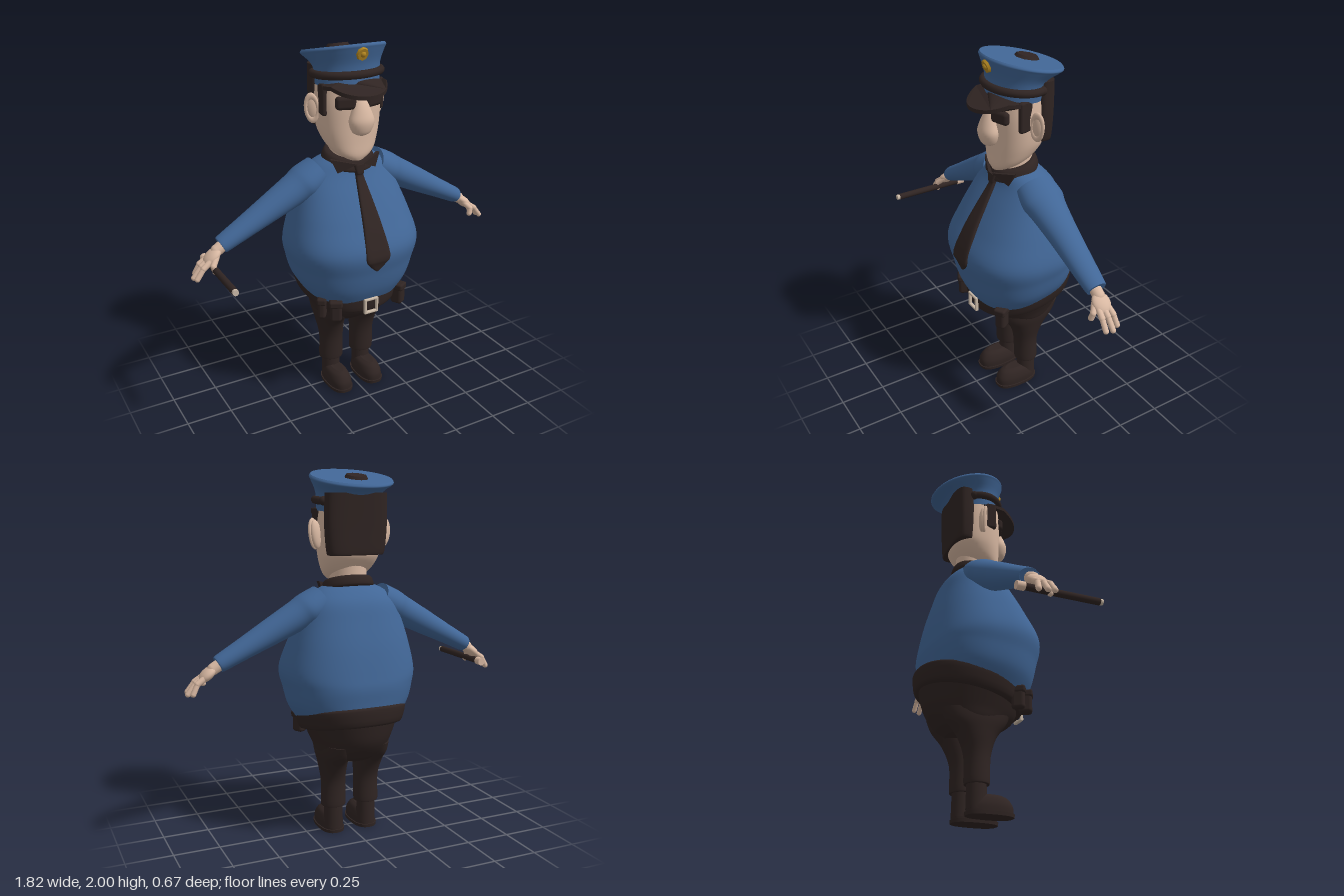
import * as THREE from 'three';
import { RoundedBoxGeometry } from 'three/addons/geometries/RoundedBoxGeometry.js';

const mat = (name, color) => Object.assign(new THREE.MeshStandardMaterial({ color }), { name });

// Closed skin over rings listed bottom to top: [y, cx, cz, rx, rz, slope dy/dz, squareness]
function loft(rings, sub = 5, seg = 40) {
  const full = rings.map(r => [r[0], r[1], r[2], r[3], r[4], r[5] ?? 0, r[6] ?? 2]);
  const at = i => full[Math.max(0, Math.min(full.length - 1, i))];
  const list = [];
  for (let i = 0; i < full.length - 1; i++)
    for (let k = 0; k < sub; k++) {
      const t = k / sub;
      list.push(full[i].map((b, j) => {
        const a = at(i - 1)[j], c = at(i + 1)[j], d = at(i + 2)[j];
        return sub === 1 ? b : b + 0.5 * t * (c - a + t * (2 * a - 5 * b + 4 * c - d + t * (3 * (b - c) + d - a)));
      }));
    }
  list.push(full[full.length - 1]);
  const pos = [], idx = [];
  const addRing = ([y, cx, cz, rx, rz, s, n]) => {
    const start = pos.length / 3;
    for (let j = 0; j < seg; j++) {
      const a = j / seg * Math.PI * 2, c = Math.cos(a), q = Math.sin(a);
      const x = cx + rx * Math.sign(c) * Math.abs(c) ** (2 / n);
      const z = cz + rz * Math.sign(q) * Math.abs(q) ** (2 / n);
      pos.push(x, y + s * z, z);
    }
    return start;
  };
  list.forEach((r, i) => {
    const b = addRing(r), a = b - seg;
    if (i) for (let j = 0; j < seg; j++) {
      const k = (j + 1) % seg;
      idx.push(a + j, b + j, a + k, a + k, b + j, b + k);
    }
  });
  for (const [r, top] of [[list[0], false], [list[list.length - 1], true]]) {
    const s = addRing(r), m = pos.length / 3;
    pos.push(r[1], r[0] + r[5] * r[2], r[2]);
    for (let j = 0; j < seg; j++) {
      const k = s + (j + 1) % seg;
      top ? idx.push(m, k, s + j) : idx.push(m, s + j, k);
    }
  }
  const g = new THREE.BufferGeometry();
  g.setAttribute('position', new THREE.Float32BufferAttribute(pos, 3));
  g.setIndex(idx);
  g.computeVertexNormals();
  return g;
}

export function createModel() {
  const root = new THREE.Group();
  root.name = 'officer';
  const blue = mat('uniform blue', 0x416696), dark = mat('dark brown', 0x2f2422);
  const skin = mat('skin', 0xd8b8a2), gold = mat('gold', 0xb08420), metal = mat('pale metal', 0xc9b8a6);
  const add = (parent, name, geo, m, x = 0, y = 0, z = 0) => {
    const o = new THREE.Mesh(geo, m);
    o.name = name;
    o.position.set(x, y, z);
    parent.add(o);
    return o;
  };
  // Rounded rod between two points
  const rod = (parent, name, a, b, r, m) => {
    const p = new THREE.Vector3(...a), d = new THREE.Vector3(...b).sub(p);
    const o = add(parent, name, new THREE.CapsuleGeometry(r, d.length(), 6, 14), m);
    o.position.copy(p).addScaledVector(d, 0.5);
    o.quaternion.setFromUnitVectors(new THREE.Vector3(0, 1, 0), d.normalize());
    return o;
  };

  // Shirt and tie
  add(root, 'shirt', loft([
    [0.665, 0, -0.025, 0.285, 0.27, -0.18, 2.4], [0.74, 0, -0.01, 0.328, 0.29, -0.15, 2.4],
    [0.83, 0, 0, 0.352, 0.305, -0.1, 2.4], [0.93, 0, 0.015, 0.37, 0.31, 0, 2.4],
    [1.07, 0, -0.005, 0.335, 0.262, 0, 2.4], [1.2, 0, -0.025, 0.29, 0.205, 0, 2.4],
    [1.3, 0, -0.04, 0.25, 0.157, 0, 2.3], [1.36, 0, -0.03, 0.19, 0.12, 0, 2.2],
    [1.395, 0, -0.015, 0.11, 0.09]], 6, 64), blue);
  add(root, 'tie', loft([
    [0.83, 0, 0.307, 0.008, 0.014, 0, 4], [0.87, 0, 0.317, 0.05, 0.014, 0, 4], [0.92, 0, 0.324, 0.072, 0.014, 0, 4],
    [1.07, 0, 0.259, 0.054, 0.016, 0, 4], [1.2, 0, 0.182, 0.037, 0.016, 0, 4], [1.3, 0, 0.121, 0.022, 0.016, 0, 4],
    [1.32, 0, 0.118, 0.022, 0.02, 0, 4], [1.365, 0, 0.112, 0.033, 0.02, 0, 4]], 3, 24), dark);

  // Collar with two points
  add(root, 'collar', loft([[1.355, 0, -0.005, 0.135, 0.122, -0.27], [1.368, 0, -0.005, 0.146, 0.131, -0.27],
    [1.408, 0, -0.005, 0.132, 0.118, -0.27], [1.418, 0, -0.005, 0.112, 0.1, -0.27]], 3), dark);
  const wing = new THREE.ExtrudeGeometry(
    new THREE.Shape([[0, 1.37], [0.105, 1.325], [0.14, 1.4]].map(p => new THREE.Vector2(...p))),
    { depth: 0.02, bevelEnabled: false });
  for (const s of [1, -1]) {
    const g = new THREE.Group();
    g.name = s > 0 ? 'leftCollarPoint' : 'rightCollarPoint';
    g.scale.x = s;
    root.add(g);
    add(g, 'collarPoint', wing, dark, 0.01, 0, 0.115).rotation.y = 0.4;
  }

  // Trousers and belt
  add(root, 'trouserSeat', loft([[0.43, 0, -0.04, 0.13, 0.12], [0.47, 0, -0.04, 0.19, 0.175],
    [0.53, 0, -0.04, 0.215, 0.235, -0.08], [0.6, 0, -0.04, 0.245, 0.262, -0.15],
    [0.66, 0, -0.04, 0.27, 0.275, -0.2]]), dark);
  add(root, 'belt', loft([[0.6, 0, -0.037, 0.255, 0.265, -0.2, 2.2], [0.615, 0, -0.04, 0.278, 0.285, -0.2, 2.2],
    [0.69, 0, -0.04, 0.298, 0.292, -0.2, 2.2], [0.705, 0, -0.04, 0.28, 0.28, -0.2, 2.2]], 3, 56), dark);
  for (const [w, h, x, y] of [[0.085, 0.014, 0, 0.632], [0.085, 0.014, 0, 0.555],
    [0.014, 0.09, -0.036, 0.593], [0.014, 0.09, 0.036, 0.593]])
    add(root, 'buckleBar', new RoundedBoxGeometry(w, h, 0.02, 2, 0.005), metal, x, y, 0.255);
  for (const [x, z, w] of [[-0.24, 0.14, 0.045], [-0.19, 0.205, 0.065], [0.21, 0.195, 0.06]]) {
    add(root, 'pouch', new RoundedBoxGeometry(w, 0.115, 0.07, 3, 0.018), dark, x, 0.588, z).rotation.y = x * 2.5;
    add(root, 'pouchFlap', new RoundedBoxGeometry(w + 0.008, 0.04, 0.08, 3, 0.012), dark, x, 0.635, z).rotation.y = x * 2.5;
  }

  // Head and nose
  add(root, 'neck', new THREE.CylinderGeometry(0.1, 0.1, 0.2, 32), skin, 0, 1.4, -0.01);
  add(root, 'head', loft([[1.42, 0, 0.035, 0.07, 0.08, -0.3], [1.455, 0, 0.01, 0.125, 0.115, -0.3, 2.2],
    [1.51, 0, -0.01, 0.155, 0.135, -0.2, 2.3], [1.58, 0, -0.012, 0.17, 0.138, 0, 2.3],
    [1.7, 0, -0.01, 0.175, 0.138, 0, 2.3], [1.82, 0, -0.01, 0.165, 0.13, 0, 2.3]], 5, 48), skin);
  add(root, 'nose', loft([[1.53, 0, 0.14, 0.015, 0.015], [1.548, 0, 0.14, 0.05, 0.038], [1.6, 0, 0.14, 0.07, 0.052],
    [1.65, 0, 0.136, 0.057, 0.045], [1.71, 0, 0.127, 0.032, 0.027], [1.735, 0, 0.12, 0.014, 0.01]], 5, 28), skin);

  // Hair: back mass and the tuft on the crown
  add(root, 'hair', loft([[1.55, 0, -0.105, 0.145, 0.05, 0, 3], [1.565, 0, -0.108, 0.16, 0.056, 0, 3.2],
    [1.7, 0, -0.11, 0.172, 0.057, 0, 3.4], [1.87, 0, -0.113, 0.172, 0.06, 0, 3]]), dark);
  const tuft = add(root, 'crownTuft', new THREE.CylinderGeometry(0.055, 0.072, 0.026, 8), dark, -0.01, 1.948, -0.095);
  tuft.rotation.x = -0.214;

  // Sunglasses bridge
  add(root, 'glassesBridge', new THREE.BoxGeometry(0.07, 0.014, 0.02), dark, 0, 1.725, 0.135);

  // Cap
  add(root, 'cap', loft([[1.78, 0, -0.01, 0.174, 0.14, 0.08], [1.87, 0, -0.02, 0.181, 0.146, 0.1],
    [1.935, 0, -0.05, 0.215, 0.198, 0.2], [1.953, 0, -0.055, 0.225, 0.209, 0.217],
    [1.966, 0, -0.055, 0.217, 0.202, 0.217]], 4, 56), blue);
  const strapPts = [];
  for (let i = 0; i <= 24; i++) {
    const a = -0.4 + i / 24 * (Math.PI + 0.8), z = -0.015 + 0.147 * Math.sin(a);
    strapPts.push(new THREE.Vector3(0.181 * Math.cos(a), 1.833 + 0.06 * z, z));
  }
  add(root, 'capStrap', new THREE.TubeGeometry(new THREE.CatmullRomCurve3(strapPts), 64, 0.021, 10), dark);
  for (const p of [strapPts[0], strapPts[24]])
    add(root, 'strapButton', new THREE.SphereGeometry(0.024, 14, 10), dark, p.x, p.y, p.z);
  const brim = new THREE.Shape();
  brim.absellipse(0, 0.02, 0.178, 0.22, 0, Math.PI, false);
  brim.absellipse(0, 0, 0.165, 0.115, Math.PI, 0, true);
  const brimGeo = new THREE.ExtrudeGeometry(brim, { depth: 0.02, bevelEnabled: false, curveSegments: 28 });
  brimGeo.rotateX(Math.PI / 2);
  const bp = brimGeo.attributes.position;
  for (let i = 0; i < bp.count; i++) {
    const x = bp.getX(i), z = bp.getZ(i);
    bp.setY(i, bp.getY(i) + 1.818 - 0.5 * Math.max(0, z - 0.115) - x * x);
  }
  brimGeo.computeVertexNormals();
  add(root, 'capVisor', brimGeo, dark);
  const badge = add(root, 'capBadge', new THREE.CylinderGeometry(0.03, 0.034, 0.014, 8), gold, 0, 1.945, 0.147);
  badge.rotation.x = Math.PI / 2 + 0.3;
  badge.scale.z = 1.1;
  add(root, 'badgeBoss', new THREE.SphereGeometry(0.016, 12, 8), gold, 0, 1.945, 0.15);

  // Mirrored parts
  for (const s of [1, -1]) {
    const g = new THREE.Group();
    g.name = s > 0 ? 'leftSide' : 'rightSide';
    g.scale.x = s;
    root.add(g);

    // Leg and shoe
    add(g, 'trouserLeg', loft([[0.155, 0.1, -0.032, 0.066, 0.062], [0.17, 0.1, -0.032, 0.07, 0.066],
      [0.3, 0.1, -0.03, 0.069, 0.07], [0.4, 0.106, -0.035, 0.08, 0.105],
      [0.47, 0.11, -0.04, 0.088, 0.16], [0.53, 0.11, -0.04, 0.09, 0.19]]), dark);
    add(g, 'ankle', loft([[0.03, 0.1, -0.033, 0.055, 0.055], [0.1, 0.1, -0.033, 0.052, 0.053],
      [0.18, 0.1, -0.033, 0.05, 0.05]], 3, 28), dark);
    add(g, 'sole', loft([[0, 0.1, 0.037, 0.068, 0.127, 0, 2.6], [0.018, 0.1, 0.037, 0.07, 0.129, 0, 2.6]], 1), dark);
    add(g, 'shoe', loft([[0.015, 0.1, 0.037, 0.064, 0.123, 0, 2.5], [0.055, 0.1, 0.037, 0.064, 0.121, 0, 2.4],
      [0.092, 0.1, 0.035, 0.05, 0.1, 0, 2.2], [0.108, 0.1, 0.035, 0.028, 0.07]]), dark);

    // Sleeve, lofted along its own axis
    const sleeve = add(g, 'sleeve', loft([[-0.04, 0, -0.035, 0.085, 0.11], [0.05, 0, -0.035, 0.088, 0.118],
      [0.12, 0, -0.033, 0.081, 0.102], [0.28, 0, -0.03, 0.07, 0.082], [0.45, 0, -0.027, 0.056, 0.069],
      [0.59, 0, -0.025, 0.046, 0.058], [0.605, 0, -0.025, 0.04, 0.052]]), blue, 0.2, 1.29, 0);
    sleeve.rotation.z = -2.057;

    // Hand
    rod(g, 'wrist', [0.71, 1.015, -0.022], [0.76, 0.985, -0.02], 0.032, skin);
    const palm = add(g, 'palm', new THREE.SphereGeometry(1, 24, 16), skin, 0.79, 0.96, -0.015);
    palm.scale.set(0.058, 0.028, 0.05);
    palm.rotation.z = -0.7;
    for (const [z, tx, ty] of [[-0.045, 0.875, 0.868], [-0.012, 0.894, 0.862], [0.022, 0.888, 0.868]]) {
      rod(g, 'fingerBase', [0.8, 0.952, z * 0.8 - 0.004], [0.85, 0.918, z], 0.016, skin);
      rod(g, 'fingerTip', [0.85, 0.918, z], [tx, ty, z * 1.15], 0.0145, skin);
    }
    rod(g, 'thumbBase', [0.775, 0.965, 0.015], [0.805, 0.93, 0.043], 0.016, skin);
    rod(g, 'thumbTip', [0.805, 0.93, 0.043], [0.798, 0.9, 0.048], 0.0155, skin);

    // Ear with rim
    const ear = new THREE.Group();
    ear.name = 'ear';
    ear.position.set(0.193, 1.657, -0.032);
    ear.rotation.set(0.1, 0.5, -0.12);
    g.add(ear);
    add(ear, 'earLobe', new THREE.SphereGeometry(1, 24, 16), skin).scale.set(0.036, 0.076, 0.022);
    add(ear, 'earRim', new THREE.TorusGeometry(0.031, 0.0095, 10, 28), skin, 0.002, 0.004, 0.012).scale.y = 2.05;

    // Sunglass lens and sideburn
    add(g, 'lens', new RoundedBoxGeometry(0.108, 0.07, 0.05, 4, 0.02), dark, 0.077, 1.702, 0.112).rotation.y = 0.3;
    add(g, 'sideburn', new RoundedBoxGeometry(0.03, 0.165, 0.08, 3, 0.014), dark, 0.162, 1.712, 0.022).rotation.y = 0.15;
  }

  // Baton in the right hand
  const baton = new THREE.Group();
  baton.name = 'baton';
  baton.position.set(-0.797, 0.91, 0);
  root.add(baton);
  const bar = (name, r, z0, z1, m) => {
    add(baton, name, new THREE.CylinderGeometry(r, r, z1 - z0, 20), m, 0, 0, (z0 + z1) / 2).rotation.x = Math.PI / 2;
  };
  bar('batonShaft', 0.018, -0.09, 0.312, dark);
  bar('batonTip', 0.016, 0.312, 0.328, metal);
  bar('batonKnob', 0.022, -0.128, -0.085, skin);
  return root;
}
